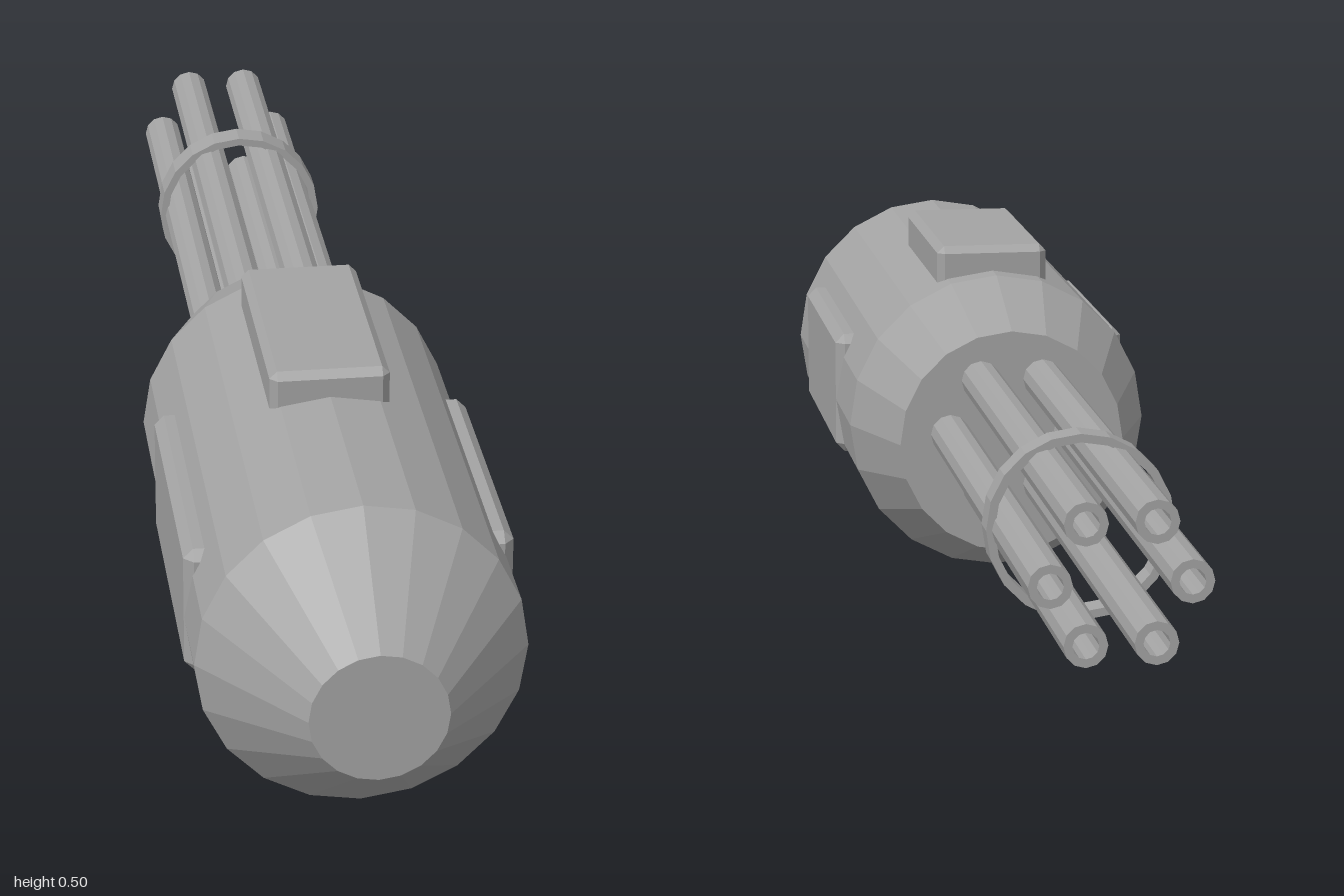
import * as THREE from 'three';
import { ConvexGeometry } from 'three/addons/geometries/ConvexGeometry.js';

const metal = new THREE.MeshStandardMaterial({ color: 0xa3a3a3 });
metal.name = 'grey metal';
metal.flatShading = true;

// Solid of revolution about the z axis, from [radius, z] pairs
function turned(name, profile, sides) {
  const points = profile.map(([r, z]) => new THREE.Vector2(r, z));
  const geometry = new THREE.LatheGeometry(points, sides).rotateX(Math.PI / 2);
  const mesh = new THREE.Mesh(geometry, metal);
  mesh.name = name;
  return mesh;
}

// Hollow pipe along z
const pipe = (name, outer, inner, z0, z1, sides) =>
  turned(name, [[inner, z0], [outer, z0], [outer, z1], [inner, z1], [inner, z0]], sides);

// Box with every edge chamfered by c
function chamferedBox(name, w, h, d, c) {
  const points = [];
  for (const sx of [-1, 1]) for (const sy of [-1, 1]) for (const sz of [-1, 1]) {
    for (let full = 0; full < 3; full++) {
      const [x, y, z] = [w, h, d].map((size, i) => size / 2 - (i === full ? 0 : c));
      points.push(new THREE.Vector3(sx * x, sy * y, sz * z));
    }
  }
  const mesh = new THREE.Mesh(new ConvexGeometry(points), metal);
  mesh.name = name;
  return mesh;
}

export function createModel() {
  const model = new THREE.Group();
  model.name = 'rotaryCannon';

  // Housing with tapered ends
  const housing = turned('housing', [
    [0, -0.065], [0.172, -0.065], [0.231, 0.09], [0.231, 0.83], [0.096, 1], [0, 1],
  ], 20);
  housing.position.y = 0.232;
  model.add(housing);

  // Six barrels and the clamp ring around them
  const barrels = new THREE.Group();
  barrels.name = 'barrelCluster';
  barrels.position.y = 0.247;
  for (let i = 0; i < 6; i++) {
    const a = (i * Math.PI) / 3;
    const barrel = pipe('barrel', 0.03, 0.018, -1, -0.04, 12);
    barrel.position.set(0.095 * Math.cos(a), 0.095 * Math.sin(a), 0);
    barrels.add(barrel);
  }
  barrels.add(pipe('clampRing', 0.133, 0.121, -0.686, -0.642, 20));
  model.add(barrels);

  // Raised block on top
  const topBlock = chamferedBox('topBlock', 0.172, 0.1, 0.368, 0.011);
  topBlock.position.set(0, 0.452, 0.316);
  model.add(topBlock);

  // Access panels on both sides
  for (const side of [-1, 1]) {
    const panel = chamferedBox('sidePanel', 0.06, 0.192, 0.44, 0.014);
    panel.position.set(side * 0.2015, 0.243, 0.49);
    model.add(panel);
  }
  return model;
}
